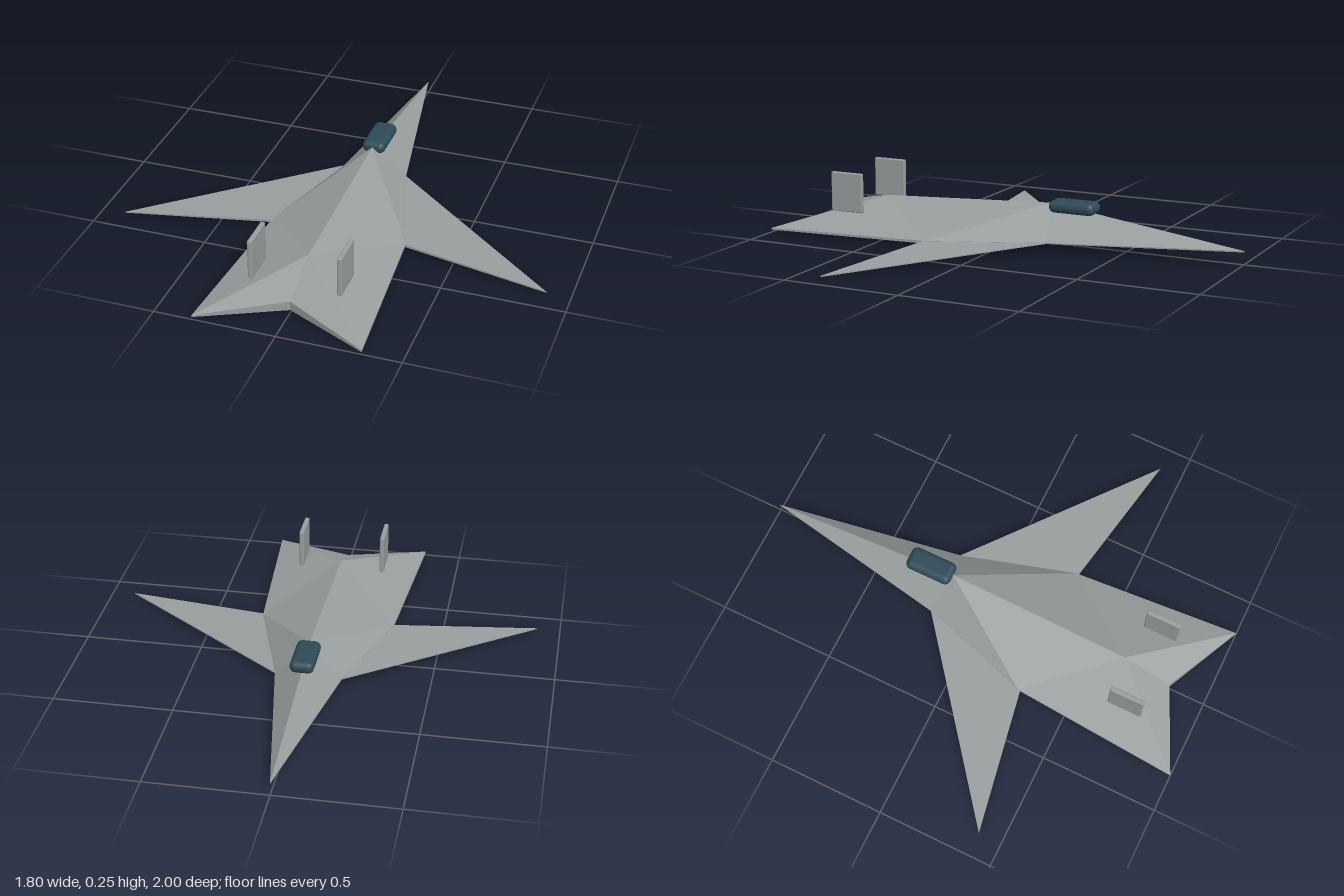
import * as THREE from 'three';
import { RoundedBoxGeometry } from 'three/addons/geometries/RoundedBoxGeometry.js';

const hull = new THREE.MeshStandardMaterial({ color: 0x989e9e });
hull.name = 'hull grey';
const glass = new THREE.MeshStandardMaterial({ color: 0x2f4a56 });
glass.name = 'canopy blue';

// Flat-faced geometry from triangles; flipped copies mirror across x = 0
function facets(tris, sides) {
  const out = [];
  for (const s of sides) {
    for (const t of tris) {
      const order = s > 0 ? t : [t[0], t[2], t[1]];
      for (const p of order) out.push(p[0] * s, p[1], p[2]);
    }
  }
  const g = new THREE.BufferGeometry();
  g.setAttribute('position', new THREE.Float32BufferAttribute(out, 3));
  g.computeVertexNormals();
  return g;
}

// Thin wall running between an upper and a lower outline
function rim(top, bottom) {
  const tris = [];
  for (let i = 0; i < top.length - 1; i++) {
    tris.push([top[i], top[i + 1], bottom[i + 1]], [top[i], bottom[i + 1], bottom[i]]);
  }
  return tris;
}

function add(group, name, geometry, material, x = 0, y = 0, z = 0) {
  const m = new THREE.Mesh(geometry, material);
  m.name = name;
  m.position.set(x, y, z);
  group.add(m);
}

export function createModel() {
  const group = new THREE.Group();
  group.name = 'jet';

  // Fuselage: ridge points, then the left outline from nose to tail notch
  const ridgeFront = [0, 0.172, -0.16], ridgeBack = [0, 0.132, 0.63];
  const nose = [0, 0.056, -1], shoulder = [0.14, 0.035, -0.2], waist = [0.288, 0.024, 0.28];
  const corner = [0.342, 0.018, 1], notch = [0, 0.052, 0.84];
  const outline = [nose, shoulder, waist, corner, notch];
  const lowY = [0.05, 0.03, 0.013, 0.01, 0.012];
  const low = outline.map((p, i) => [p[0], lowY[i], p[2]]);
  const body = [
    [nose, ridgeFront, shoulder],
    [ridgeFront, waist, shoulder],
    [ridgeFront, ridgeBack, waist],
    [ridgeBack, corner, waist],
    [ridgeBack, notch, corner],
    [low[0], low[1], low[4]],
    [low[1], low[2], low[4]],
    [low[2], low[3], low[4]],
    ...rim(outline, low),
  ];
  add(group, 'fuselage', facets(body, [1, -1]), hull);

  // Swept wings tapering to thin tips
  const root = [0.14, 0.034, -0.2], tip = [0.9, 0.005, 0.4], trail = [0.285, 0.023, 0.29];
  const wingTop = [root, tip, trail];
  const wingLow = [[0.14, 0.03, -0.2], [0.9, 0, 0.4], [0.285, 0.013, 0.29]];
  const wing = [
    [root, trail, tip],
    wingLow,
    ...rim(wingTop, wingLow),
  ];
  add(group, 'leftWing', facets(wing, [1]), hull);
  add(group, 'rightWing', facets(wing, [-1]), hull);

  // Upright tail fins
  for (const s of [1, -1]) {
    add(group, s > 0 ? 'leftFin' : 'rightFin',
      new RoundedBoxGeometry(0.02, 0.17, 0.15, 2, 0.005), hull, s * 0.182, 0.17, 0.715);
  }

  // Canopy straddling the ridge
  add(group, 'canopy', new RoundedBoxGeometry(0.1, 0.052, 0.204, 3, 0.025), glass, 0, 0.164, -0.264);
  return group;
}
